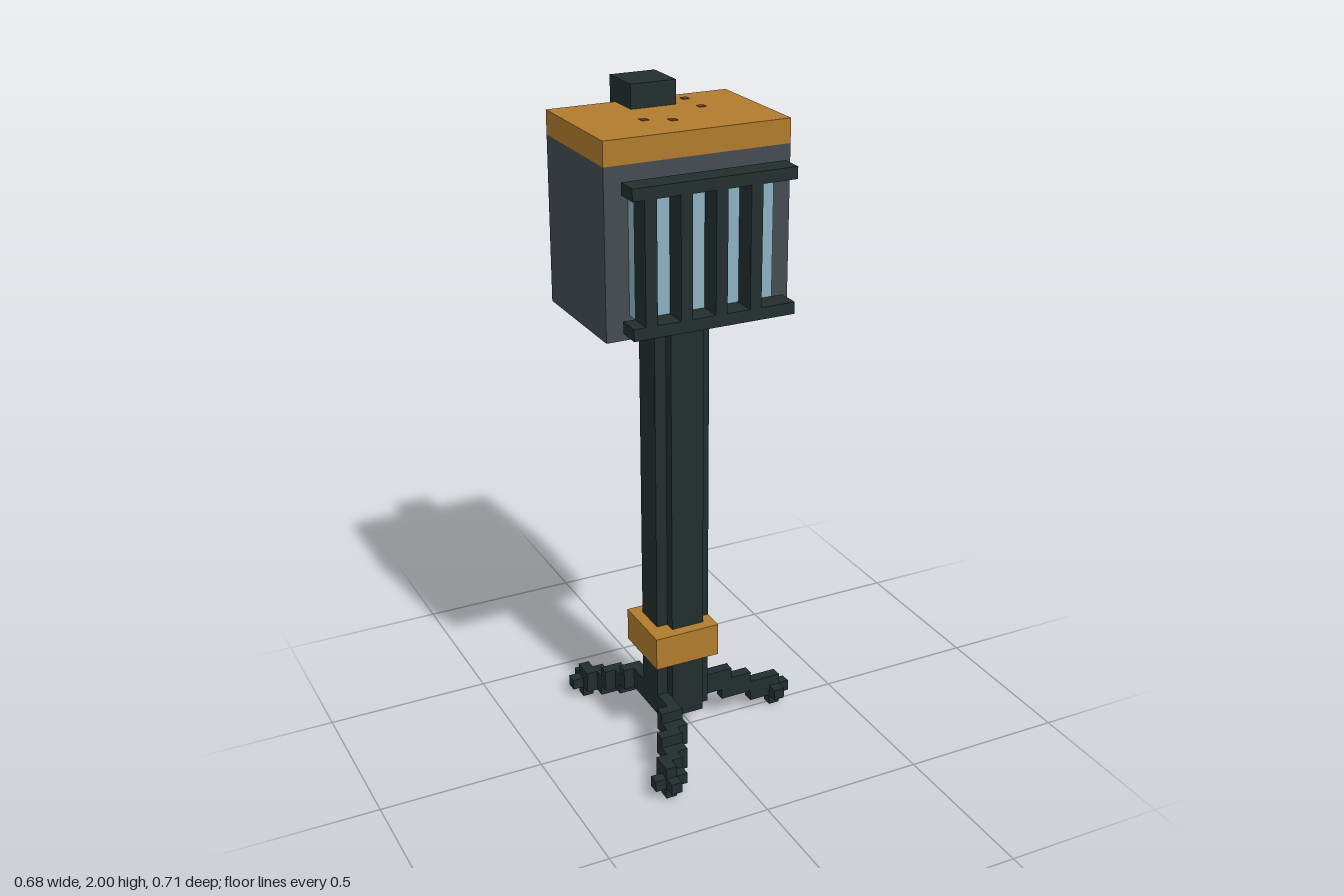
import * as THREE from 'three';

const V = 2 / 59; // one voxel

const mat = (name, color) => {
  const m = new THREE.MeshStandardMaterial({ color });
  m.name = name;
  return m;
};

export function createModel() {
  const iron = mat('dark iron', 0x222e2e);
  const steel = mat('grey steel', 0x444b52);
  const wood = mat('ochre wood', 0xb07b2d);
  const glass = mat('pale blue glass', 0x8cb1c2);
  const rust = mat('rust brown', 0x74452f);

  const model = new THREE.Group();
  model.name = 'lanternPost';

  // Box given by its voxel limits on each axis
  const box = (parent, name, material, [x0, x1], [y0, y1], [z0, z1]) => {
    const mesh = new THREE.Mesh(
      new THREE.BoxGeometry((x1 - x0) * V, (y1 - y0) * V, (z1 - z0) * V), material);
    mesh.position.set((x0 + x1) / 2 * V, (y0 + y1) / 2 * V, (z0 + z1) / 2 * V);
    mesh.name = name;
    parent.add(mesh);
  };
  const group = (name) => {
    const g = new THREE.Group();
    g.name = name;
    model.add(g);
    return g;
  };

  // Head: housing, lid and vent block
  const head = group('head');
  box(head, 'housing', steel, [-10, 6], [41, 55], [-5.5, 5.5]);
  box(head, 'lid', wood, [-10, 6], [55, 57], [-5.5, 5.5]);
  box(head, 'vent', iron, [-4, 0], [55, 59], [-6.5, -2.5]);

  // Window behind a barred grille
  box(head, 'windowGlass', glass, [-8, 4], [43, 53], [5.5, 6.5]);
  const grille = group('grille');
  for (const y of [42, 53]) box(grille, 'rail', iron, [-9, 5], [y, y + 1], [6.5, 8.5]);
  for (let x = -8; x < 4; x += 3) box(grille, 'bar', iron, [x, x + 1], [43, 53], [6.5, 8.5]);

  // Rust specks, thin plates on the lid, back and side
  const specks = group('rustSpecks');
  const r = 0.3, t = 0.06;
  for (const [x, z] of [[1.5, -4], [1.5, -1], [-4.5, 1], [-2.5, 2]])
    box(specks, 'lidSpeck', rust, [x - r, x + r], [57 - t, 57 + t], [z - r, z + r]);
  for (const [x, y] of [[-2.5, 47.5], [0.5, 41.5]])
    box(specks, 'backSpeck', rust, [x - r, x + r], [y - r, y + r], [-5.5 - t, -5.5 + t]);
  box(specks, 'sideSpeck', rust, [6 - t, 6 + t], [49.5 - r, 49.5 + r], [-2 - r, -2 + r]);

  // Post with notched corners, broken by the wooden collar
  const post = group('post');
  for (const span of [[3, 9], [12, 41]]) {
    box(post, 'shaft', iron, [-4, 1], span, [-1.5, 1.5]);
    box(post, 'shaft', iron, [-3, 0], span, [-2.5, 2.5]);
  }
  box(post, 'collar', wood, [-5, 1], [9, 12], [-2.5, 3.5]);

  // Cross-shaped foot, centred on a voxel
  const foot = (parent, x, z) => {
    box(parent, 'foot', iron, [x - 1.5, x + 1.5], [1, 2], [z - 0.5, z + 0.5]);
    box(parent, 'foot', iron, [x - 0.5, x + 0.5], [1, 2], [z - 1.5, z + 1.5]);
    box(parent, 'foot', iron, [x - 0.5, x + 0.5], [0, 3], [z - 0.5, z + 0.5]);
  };

  // Side leg, stepping down along +x
  const sideLeg = group('sideLeg');
  for (const [x0, x1, y] of [[0, 4, 3], [3, 6, 2], [6, 9, 1]])
    box(sideLeg, 'legStep', iron, [x0, x1], [y, y + 2], [-0.5, 0.5]);
  foot(sideLeg, 8.5, 0);

  // Diagonal legs, mirrored front to back: x span, z, bottom y
  const steps = [
    [-4, -2, 2, 3], [-4, -3, 3, 3], [-5, -3, 4, 3], [-5, -3, 5, 2],
    [-6, -4, 6, 2], [-6, -4, 7, 1], [-7, -5, 8, 1],
  ];
  for (const s of [1, -1]) {
    const leg = group(s > 0 ? 'frontLeg' : 'backLeg');
    for (const [x0, x1, z, y] of steps)
      box(leg, 'legStep', iron, [x0, x1], [y, y + 2], [s * z - 0.5, s * z + 0.5]);
    foot(leg, -6.5, s * 9);
  }

  return model;
}
